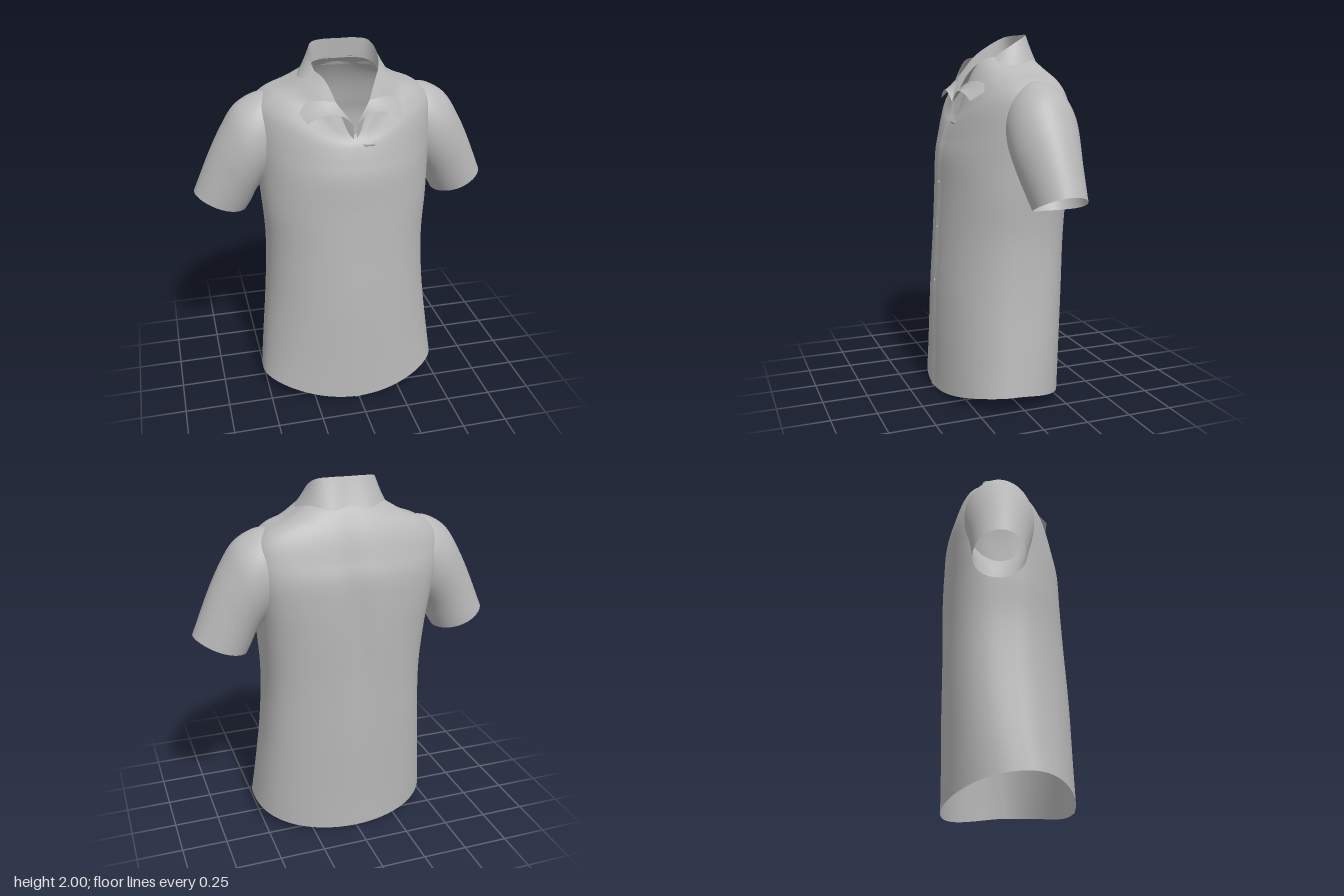
import * as THREE from 'three';

const cloth = new THREE.MeshStandardMaterial({ color: 0xb8b8b8, side: THREE.DoubleSide });
cloth.name = 'grey cloth';

// Smooth surface from a function of u and v in 0..1; closed joins the u ends
function surface(name, point, nu, nv, closed = false) {
  const cols = closed ? nu : nu + 1, pos = [], index = [];
  for (let j = 0; j <= nv; j++)
    for (let i = 0; i < cols; i++) pos.push(...point(i / nu, j / nv));
  for (let j = 0; j < nv; j++)
    for (let i = 0; i < nu; i++) {
      const a = j * cols + i, b = j * cols + ((i + 1) % cols), c = a + cols, d = b + cols;
      index.push(a, b, d, a, d, c);
    }
  const geo = new THREE.BufferGeometry();
  geo.setAttribute('position', new THREE.Float32BufferAttribute(pos, 3));
  geo.setIndex(index);
  geo.computeVertexNormals();
  const mesh = new THREE.Mesh(geo, cloth);
  mesh.name = name;
  return mesh;
}

// Catmull-Rom interpolation of every column in a list of rows
function sample(rows, v) {
  const n = rows.length - 1, s = Math.min(v, 0.99999) * n, k = Math.floor(s), t = s - k;
  const at = (i) => rows[Math.max(0, Math.min(n, i))];
  return rows[0].map((_, c) => {
    const [p, q, r, w] = [at(k - 1)[c], at(k)[c], at(k + 1)[c], at(k + 2)[c]];
    return q + 0.5 * t * (r - p + t * (2 * p - 5 * q + 4 * r - w + t * (3 * (q - r) + w - p)));
  });
}

// Torso rings: half width, y at side, front, back, z at side, front, back,
// power of the front height curve, power of the back depth curve
const torsoRings = [
  [0.52, 0.09, 0.01, 0.0, 0.06, 0.36, -0.34, 2.7, 0.75],
  [0.5, 0.27, 0.21, 0.2, 0.03, 0.355, -0.343, 2.5, 0.7],
  [0.465, 0.6, 0.58, 0.58, 0, 0.345, -0.355, 2, 0.62],
  [0.45, 0.9, 0.9, 0.9, 0, 0.325, -0.362, 2, 0.55],
  [0.465, 1.15, 1.15, 1.15, 0, 0.31, -0.37, 2, 0.5],
  [0.48, 1.35, 1.34, 1.35, -0.03, 0.302, -0.37, 2.5, 0.42],
  [0.5, 1.5, 1.44, 1.5, -0.06, 0.28, -0.362, 3, 0.4],
  [0.505, 1.62, 1.5, 1.6, -0.08, 0.262, -0.335, 3.5, 0.42],
  [0.485, 1.7, 1.53, 1.7, -0.09, 0.25, -0.305, 3.5, 0.45],
  [0.42, 1.76, 1.545, 1.77, -0.09, 0.24, -0.275, 3.5, 0.5],
  [0.33, 1.793, 1.555, 1.83, -0.085, 0.232, -0.24, 4, 0.6],
  [0.25, 1.838, 1.565, 1.875, -0.07, 0.222, -0.205, 5, 0.65],
  [0.185, 1.88, 1.575, 1.9, -0.06, 0.205, -0.172, 6, 0.6],
];
const bell = (x, mid, width) => Math.exp(-(((x - mid) / width) ** 2));

function torsoPoint(angle, v, lift = 0) {
  const [w, ys, yf, yb, zs, zf, zb, power, backPower] = sample(torsoRings, v);
  const c = Math.cos(angle), m = Math.abs(c), x = w * Math.sin(angle);
  const y = c > 0 ? ys + (yf - ys) * m ** power : ys + (yb - ys) * m ** 1.2;
  let z = c > 0 ? zs + (zf - zs) * m : zs + (zb - zs) * m ** backPower;
  // Spine hollow
  if (c < 0) z += 0.024 * bell(x, 0, 0.07) * bell(y, 1.2, 0.45);
  return [x, y, z + lift];
}

// Sleeve rings: outer x, y, inner x, y, half depth, centre z
const sleeveRings = [
  [0.3, 1.76, 0.36, 1.36, 0.12, -0.09],
  [0.4, 1.757, 0.4, 1.32, 0.165, -0.09],
  [0.49, 1.745, 0.44, 1.28, 0.185, -0.088],
  [0.59, 1.685, 0.475, 1.24, 0.186, -0.085],
  [0.665, 1.575, 0.5, 1.2, 0.175, -0.085],
  [0.74, 1.43, 0.522, 1.15, 0.157, -0.09],
  [0.835, 1.21, 0.55, 1.1, 0.138, -0.1],
];
function sleevePoint(u, v) {
  const [ox, oy, ix, iy, depth, zc] = sample(sleeveRings, v);
  const a = u * Math.PI * 2, k = 0.5 + 0.5 * Math.cos(a), s = Math.sin(a);
  return [ix + (ox - ix) * k, iy + (oy - iy) * k - 0.015 * v * s * s, zc + depth * s];
}

// Collar curves from centre back to one front end, mirrored to the other side
function collarCurve(half) {
  const right = half.slice(1).reverse().map(([x, y, z]) => [-x, y, z]);
  return new THREE.CatmullRomCurve3([...right, ...half].map((p) => new THREE.Vector3(...p)), false, 'catmullrom');
}
const foldLine = collarCurve([
  [0, 2.0, -0.16], [0.09, 2.0, -0.158], [0.16, 1.99, -0.13], [0.185, 1.945, -0.05],
  [0.17, 1.875, 0.05], [0.1, 1.76, 0.16], [0.012, 1.64, 0.23],
]);
const neckLine = collarCurve([
  [0, 1.89, -0.17], [0.09, 1.89, -0.165], [0.15, 1.885, -0.13], [0.18, 1.87, -0.05],
  [0.165, 1.82, 0.05], [0.1, 1.71, 0.15], [0.006, 1.54, 0.23],
]);
const outerEdge = collarCurve([
  [0, 1.84, -0.224], [0.12, 1.84, -0.222], [0.21, 1.835, -0.165], [0.265, 1.815, -0.06],
  [0.285, 1.765, 0.06], [0.28, 1.7, 0.145], [0.25, 1.65, 0.215],
]);

// Leaf rolls over the fold and its front edge arches between opening and tip
function collarLeafPoint(u, v) {
  const f = foldLine.getPoint(u), o = outerEdge.getPoint(u);
  const front = Math.abs(2 * u - 1) ** 6;
  const mid = f.clone().lerp(o, 0.4);
  mid.y += -0.01 + 0.12 * front;
  mid.z += 0.02 * front;
  const q = new THREE.QuadraticBezierCurve3(f, mid, o).getPoint(v);
  return [q.x, q.y, q.z];
}

export function createModel() {
  const shirt = new THREE.Group();
  shirt.name = 'shirt';

  shirt.add(surface('torso', (u, v) => torsoPoint(u * Math.PI * 2, v), 144, 90, true));

  // Front placket, overlapping with one slightly raised edge
  shirt.add(surface('placket', (u, v) => torsoPoint(-0.05 + 0.1 * u, v * 0.62, 0.006 * (1 - u)), 6, 60));

  // Sleeves
  for (const side of [1, -1]) {
    const place = (u, v) => {
      const [x, y, z] = sleevePoint(side > 0 ? u : 1 - u, v);
      return [side * x, y, z];
    };
    shirt.add(surface(side > 0 ? 'leftSleeve' : 'rightSleeve', place, 48, 36, true));
  }

  // Collar: inner stand and folded leaf
  shirt.add(surface('collarStand', (u, v) => {
    const p = neckLine.getPoint(u).lerp(foldLine.getPoint(u), v);
    return [p.x, p.y, p.z];
  }, 72, 6));
  shirt.add(surface('collarLeaf', (u, v) => collarLeafPoint(1 - u, v), 72, 12));

  // Buttons down the placket
  const buttonGeo = new THREE.CylinderGeometry(0.009, 0.009, 0.006, 12).rotateX(Math.PI / 2);
  for (const v of [0.18, 0.262, 0.35]) {
    const button = new THREE.Mesh(buttonGeo, cloth);
    button.name = 'button';
    button.position.set(...torsoPoint(-0.01, v, 0.005));
    shirt.add(button);
  }

  // Small tab on the left chest
  const tab = new THREE.Mesh(new THREE.CapsuleGeometry(0.009, 0.045, 4, 10).rotateZ(Math.PI / 2), cloth);
  tab.name = 'chestTab';
  tab.scale.z = 0.6;
  tab.position.set(0.07, 1.53, 0.252);
  shirt.add(tab);

  return shirt;
}
